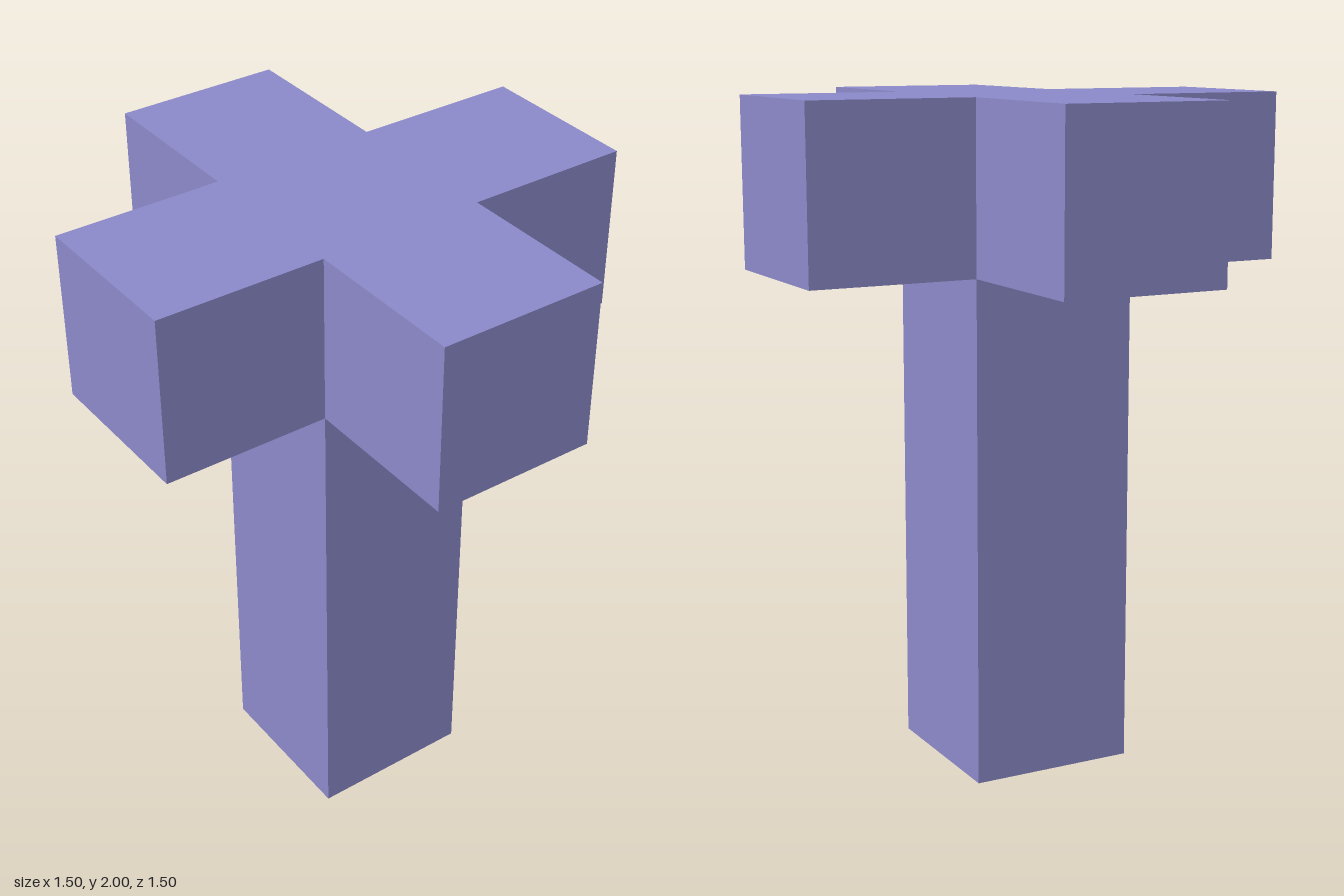
import * as THREE from 'three';

const UNIT = 0.5; // edge of one cube

export function createModel() {
  const model = new THREE.Group();
  model.name = 'crossToppedPost';

  const lavender = new THREE.MeshStandardMaterial({ color: 0x8b89c9 });
  lavender.name = 'lavender';

  // Square post, four cubes tall
  const post = new THREE.Mesh(new THREE.BoxGeometry(UNIT, 4 * UNIT, UNIT), lavender);
  post.name = 'post';
  post.position.y = 2 * UNIT;
  model.add(post);

  // One cube on each side of the post's top
  const cube = new THREE.BoxGeometry(UNIT, UNIT, UNIT);
  const arms = { leftArm: [1, 0], rightArm: [-1, 0], frontArm: [0, 1], backArm: [0, -1] };
  for (const [name, [x, z]] of Object.entries(arms)) {
    const arm = new THREE.Mesh(cube, lavender);
    arm.name = name;
    arm.position.set(x * UNIT, 3.5 * UNIT, z * UNIT);
    model.add(arm);
  }

  return model;
}
